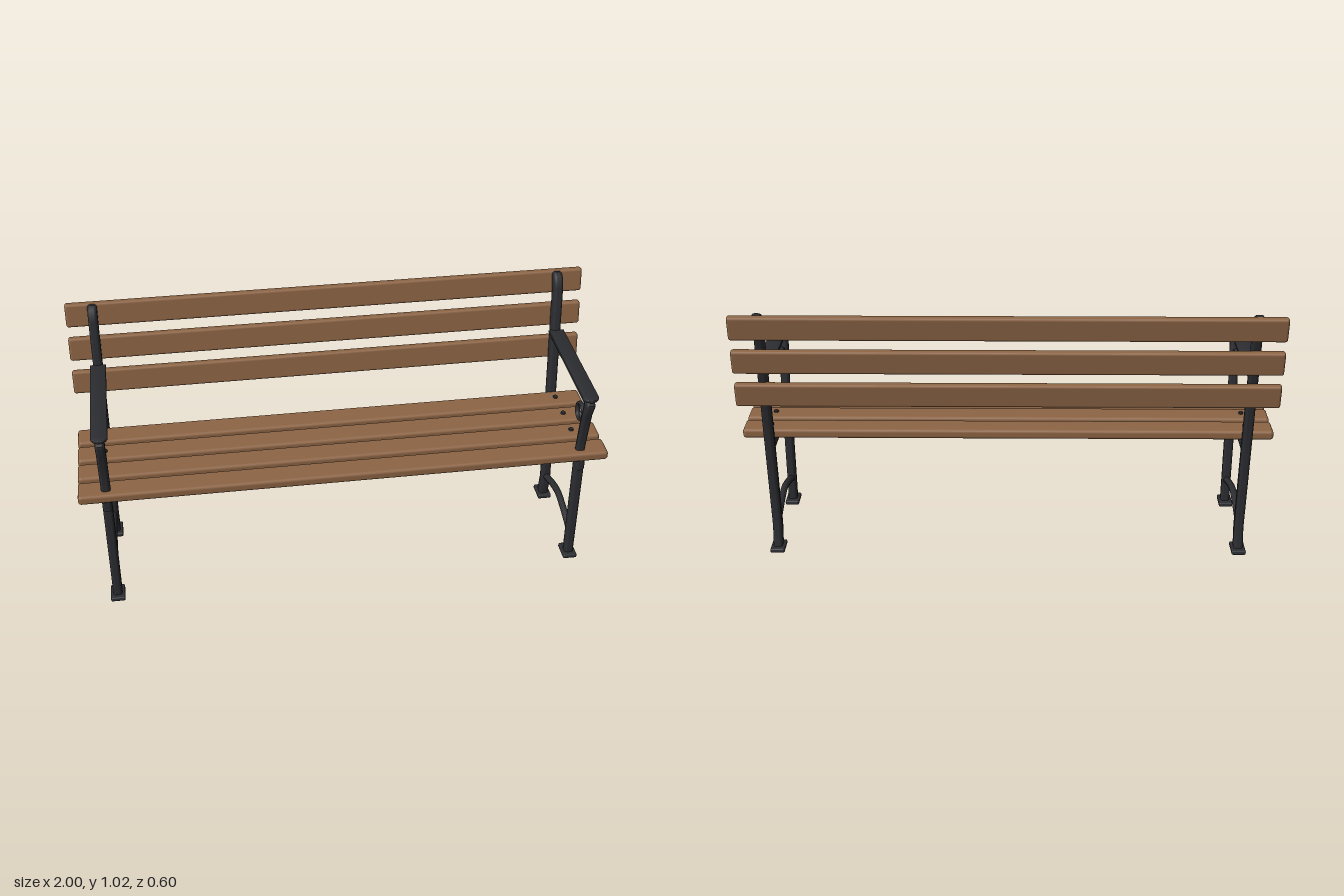
import * as THREE from 'three';
import { toCreasedNormals } from 'three/addons/utils/BufferGeometryUtils.js';
import { RoundedBoxGeometry } from 'three/addons/geometries/RoundedBoxGeometry.js';

const iron = new THREE.MeshStandardMaterial({ color: 0x2c2d31 });
const wood = new THREE.MeshStandardMaterial({ color: 0x8c6444 });

function mesh(name, geometry, material, x = 0, y = 0, z = 0) {
  const m = new THREE.Mesh(geometry, material);
  m.name = name;
  m.position.set(x, y, z);
  return m;
}

// Extrudes a shape with rounded edges that stay inside its outline
function rounded(shape, thickness, bevel) {
  const g = new THREE.ExtrudeGeometry(shape, {
    depth: thickness - 2 * bevel, bevelThickness: bevel, bevelSize: bevel,
    bevelOffset: -bevel, bevelSegments: 4, curveSegments: 12,
  });
  g.translate(0, 0, bevel - thickness / 2);
  return toCreasedNormals(g, 0.6);
}

// Iron bar whose side outline is a list of [z, y] corners
function bar(name, outline, thickness = 0.036, bevel = 0.012) {
  const shape = new THREE.Shape(outline.map(([z, y]) => new THREE.Vector2(z, y)));
  return mesh(name, rounded(shape, thickness, bevel).rotateY(-Math.PI / 2), iron);
}

// Round bar along [z, y] points, stretched sideways by widen
function rod(name, points, radius, widen = 1) {
  const curve = new THREE.CatmullRomCurve3(points.map(([z, y]) => new THREE.Vector3(0, y, z)));
  const g = new THREE.Group();
  g.name = name;
  g.add(mesh(name + 'Bar', new THREE.TubeGeometry(curve, 48, radius, 10), iron));
  // closed ends
  for (const t of [0, 1]) {
    const p = curve.getPoint(t);
    g.add(mesh(name + 'End', new THREE.SphereGeometry(radius, 10, 8), iron, 0, p.y, p.z));
  }
  g.scale.x = widen;
  return g;
}

function sideFrame(name, x) {
  const frame = new THREE.Group();
  frame.name = name;
  frame.position.x = x;

  // Legs and posts
  frame.add(bar('frontLeg', [[0.207, 0.01], [0.246, 0.01], [0.252, 0.46], [0.207, 0.46]]));
  frame.add(bar('armPost', [
    [0.21, 0.45], [0.25, 0.45], [0.24, 0.52], [0.275, 0.695], [0.297, 0.745],
    [0.296, 0.758], [0.28, 0.776], [0.25, 0.776], [0.254, 0.745], [0.237, 0.685], [0.213, 0.52],
  ]));
  frame.add(bar('backPost', [
    [-0.19, 0.01], [-0.145, 0.01], [-0.127, 0.1], [-0.216, 0.965], [-0.223, 0.99],
    [-0.237, 1.007], [-0.258, 1.016], [-0.276, 1.012], [-0.284, 0.995], [-0.275, 0.97],
    [-0.264, 0.95], [-0.175, 0.1],
  ]));

  // Rails under the seat and the armrest
  frame.add(bar('seatRail', [[0.257, 0.435], [0.257, 0.479], [-0.185, 0.479], [-0.185, 0.435]]));
  frame.add(bar('armRail', [[0.275, 0.743], [0.283, 0.779], [-0.215, 0.779], [-0.215, 0.743]]));

  // Flat armrest with a round front end
  const plate = new THREE.Shape();
  plate.moveTo(-0.03, -0.205);
  plate.lineTo(0.03, -0.205);
  plate.lineTo(0.031, 0.272);
  plate.absarc(0, 0.272, 0.031, 0, Math.PI, false);
  plate.closePath();
  frame.add(mesh('armrest', rounded(plate, 0.013, 0.004).rotateX(Math.PI / 2), iron, 0, 0.781, 0));

  // Arched brace between the legs
  frame.add(rod('brace', [
    [0.215, 0.11], [0.165, 0.128], [0.098, 0.147], [0.035, 0.157], [-0.03, 0.147],
    [-0.09, 0.128], [-0.145, 0.11],
  ], 0.0135));

  // Scroll under the armrest
  frame.add(rod('scroll', [
    [0.23, 0.662], [0.216, 0.686], [0.189, 0.695], [0.162, 0.685], [0.148, 0.66],
    [0.156, 0.634], [0.178, 0.625], [0.198, 0.634], [0.203, 0.65], [0.194, 0.66],
  ], 0.007, 1.4));

  // Feet
  for (const z of [0.224, -0.168]) {
    frame.add(mesh('foot', new RoundedBoxGeometry(0.055, 0.018, 0.082, 3, 0.006), iron, 0, 0.009, z));
  }

  // Bolt heads on the seat slats
  for (const z of seatRows) {
    frame.add(mesh('bolt', new THREE.CylinderGeometry(0.009, 0.01, 0.01, 12), iron, 0, 0.518, z));
  }
  return frame;
}

const seatRows = [0.217, 0.102, -0.012, -0.127];

export function createModel() {
  const bench = new THREE.Group();
  bench.name = 'bench';

  bench.add(sideFrame('leftFrame', 0.897), sideFrame('rightFrame', -0.897));

  // Seat slats
  for (const z of seatRows) {
    bench.add(mesh('seatSlat', new RoundedBoxGeometry(2, 0.037, 0.096, 3, 0.012), wood, 0, 0.498, z));
  }

  // Backrest slats, leaning with the back posts
  for (let i = 0; i < 3; i++) {
    const slat = mesh('backSlat', new RoundedBoxGeometry(2, 0.093, 0.031, 3, 0.01), wood,
      0, 0.693 + 0.1375 * i, -0.243 - 0.0185 * i);
    slat.rotation.x = -0.13;
    bench.add(slat);
  }
  return bench;
}
